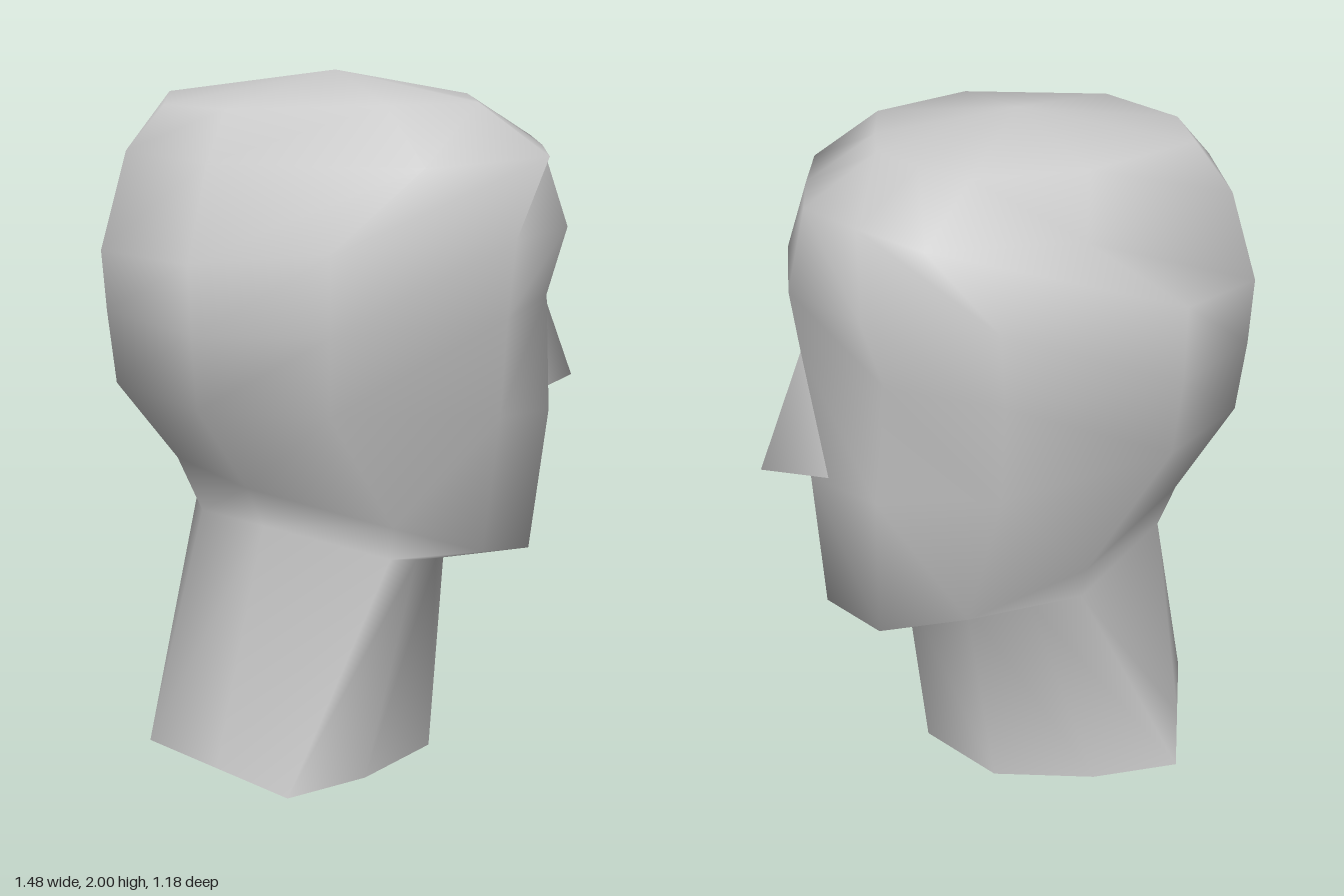
import * as THREE from 'three';

// Half outlines from back to front: [fraction of length, fraction of half width]
const NECK_BASE = [[0, 0], [0.15, 0.5], [0.3, 1], [0.583, 0.89], [0.878, 0.58], [1, 0]];
const NECK_TOP = [[0, 0], [0.115, 0.66], [0.526, 1], [0.68, 0.79], [0.85, 0.44], [1, 0]];
const JAW = [[0, 0], [0.1, 0.65], [0.436, 1], [0.727, 0.79], [0.927, 0.5], [1, 0]];
const FACE = [[0, 0], [0.1, 0.66], [0.335, 1], [0.72, 0.98], [0.93, 0.55], [1, 0]];
const EYES = [[0, 0], [0.1, 0.66], [0.335, 1], [0.72, 0.98], [0.902, 0.56], [1, 0]];
const DOME = [[0, 0], [0.1, 0.64], [0.53, 1], [0.86, 0.83], [0.94, 0.4], [1, 0]];

// Sections from neck base to crown: outline, back x, front x, half width, heights from back to front
const SECTIONS = [
  [NECK_BASE, -0.65, 0.25, 0.487, [0.03, 0.03, 0.03, 0.02, 0.005, 0]],
  [NECK_TOP, -0.47, 0.31, 0.455, [0.74, 0.78, 0.69, 0.64, 0.57, 0.54]],
  [JAW, -0.54, 0.56, 0.48, [0.91, 0.9, 0.79, 0.645, 0.58, 0.57]],
  [FACE, -0.71, 0.59, 0.555, [1.15, 1.15, 1.15, 1.1, 1.03, 0.99]],
  [EYES, -0.73, 0.6, 0.582, [1.36, 1.36, 1.37, 1.38, 1.38, 1.38]],
  [FACE, -0.74, 0.625, 0.592, [1.53, 1.55, 1.59, 1.59, 1.57, 1.56]],
  [DOME, -0.66, 0.57, 0.55, [1.8, 1.8, 1.79, 1.79, 1.79, 1.79]],
  [DOME, -0.55, 0.36, 0.43, [1.92, 1.93, 1.94, 1.93, 1.92, 1.92]],
];

function sectionLoop([outline, back, front, width, heights]) {
  const half = outline.map(([u, w], i) =>
    new THREE.Vector3(back + (front - back) * u, heights[i], width * w));
  const mirrored = half.slice(1, -1).reverse().map((p) => new THREE.Vector3(p.x, p.y, -p.z));
  return [...half, ...mirrored];
}

function smoothGeometry(points, index) {
  const geometry = new THREE.BufferGeometry().setFromPoints(points);
  geometry.setIndex(index);
  geometry.computeVertexNormals();
  return geometry;
}

export function createModel() {
  const group = new THREE.Group();
  group.name = 'mannequinHead';
  const material = new THREE.MeshStandardMaterial({ color: 0xcccccc, side: THREE.DoubleSide });
  const add = (name, geometry) => {
    const mesh = new THREE.Mesh(geometry, material);
    mesh.name = name;
    group.add(mesh);
  };

  // Head and neck: skin the section loops and close the crown; the neck stays open below
  const loops = SECTIONS.map(sectionLoop);
  const n = loops[0].length;
  const points = loops.flat();
  const crown = points.push(new THREE.Vector3(-0.05, 2, 0)) - 1;
  const top = (loops.length - 1) * n;
  const index = [];
  for (let j = 0; j < n; j++) {
    const k = (j + 1) % n;
    for (let r = 0; r < loops.length - 1; r++) {
      const a = r * n + j, b = r * n + k;
      // mirror the diagonal on the far side to keep the head symmetric
      if (j < n / 2) index.push(a, b, b + n, a, b + n, a + n);
      else index.push(a, b, a + n, b, b + n, a + n);
    }
    index.push(top + j, top + k, crown);
  }
  add('headAndNeck', smoothGeometry(points, index));

  // Nose: a wedge rising from the face
  const nose = [
    [0.6, 1.38, 0], [0.735, 1.04, 0], [0.585, 0.99, 0], [0.56, 1.02, 0.09], [0.56, 1.02, -0.09],
  ].map((p) => new THREE.Vector3(...p));
  add('nose', smoothGeometry(nose, [0, 3, 1, 0, 1, 4, 1, 3, 2, 1, 2, 4]));

  return group;
}
